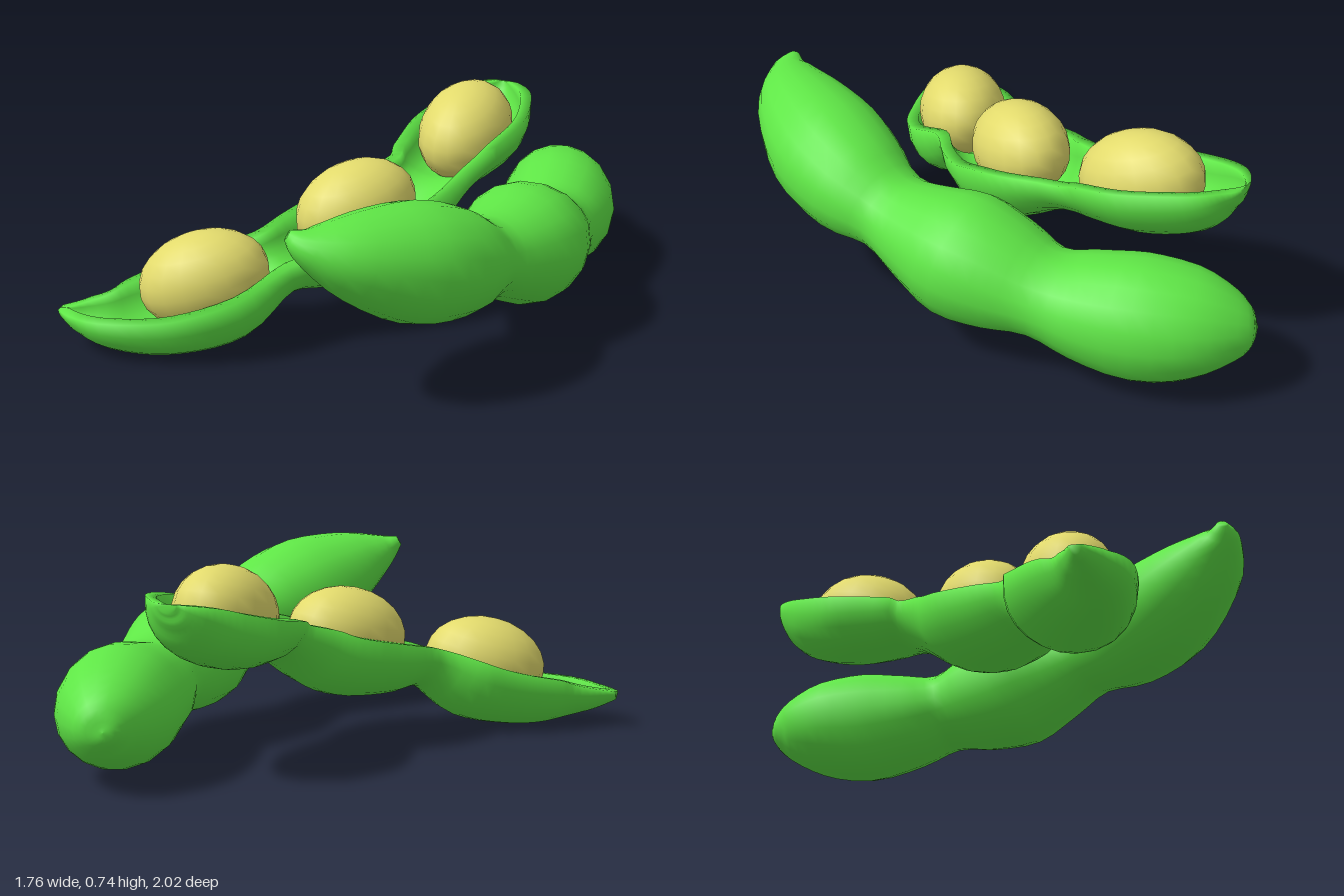
import * as THREE from 'three';

const green = new THREE.MeshStandardMaterial({ color: 0x5fe646 });
const yellow = new THREE.MeshStandardMaterial({ color: 0xe2da6c });

// Sweep a closed cross-section along stations [x, y, z, halfWidth, halfHeight, roll]
function loft(stations, section, steps) {
  const path = new THREE.CatmullRomCurve3(stations.map(s => new THREE.Vector3(s[0], s[1], s[2])));
  const size = new THREE.CatmullRomCurve3(stations.map(s => new THREE.Vector3(s[3], s[4], s[5] ?? 0)));
  path.curveType = size.curveType = 'catmullrom';
  const Y = new THREE.Vector3(0, 1, 0), pos = [], index = [];
  let n = 0;
  for (let i = 0; i <= steps; i++) {
    const p = path.getPoint(i / steps), r = size.getPoint(i / steps), t = path.getTangent(i / steps);
    const side = t.clone().cross(Y).normalize(), up = side.clone().cross(t);
    const ring = section(Math.max(r.x, 0.002), Math.max(r.y, 0.002));
    n = ring.length;
    for (const [u, v] of ring) {
      const q = p.clone().addScaledVector(side, u).addScaledVector(up, v + r.z * u);
      pos.push(q.x, q.y, q.z);
    }
  }
  for (let i = 0; i < steps; i++) {
    for (let j = 0; j < n; j++) {
      const a = i * n + j, b = i * n + (j + 1) % n, c = a + n, d = b + n;
      index.push(a, c, b, b, c, d);
    }
  }
  // end caps
  const last = steps * n;
  for (let j = 1; j < n - 1; j++) index.push(0, j, j + 1, last, last + j + 1, last + j);
  const g = new THREE.BufferGeometry();
  g.setAttribute('position', new THREE.Float32BufferAttribute(pos, 3));
  g.setIndex(index);
  g.computeVertexNormals();
  return g;
}

// Full ellipse for the closed pod
function ellipse(w, h) {
  const pts = [];
  for (let j = 0; j < 18; j++) {
    const a = j / 18 * Math.PI * 2;
    pts.push([w * Math.cos(a), h * Math.sin(a)]);
  }
  return pts;
}

// Full-bellied half shell with a thick rim for the open pod
function halfShell(w, h) {
  const pts = [], N = 12;
  const arc = (rw, rh, from, to) => {
    for (let j = 0; j <= N; j++) {
      const a = from + (to - from) * j / N;
      pts.push([rw * Math.cos(a), -rh * Math.abs(Math.sin(a)) ** 0.85]);
    }
  };
  arc(w, h, Math.PI, 2 * Math.PI);
  arc(Math.max(w - 0.045, 0.001), Math.max(h - 0.045, 0.001), 2 * Math.PI, Math.PI);
  return pts;
}

const closedStations = [
  [0.10, 0.645, 0.955, 0.02, 0.02],
  [0.165, 0.605, 0.935, 0.085, 0.07],
  [0.275, 0.55, 0.84, 0.165, 0.145],
  [0.41, 0.478, 0.66, 0.22, 0.205],
  [0.515, 0.425, 0.485, 0.205, 0.19],
  [0.57, 0.385, 0.33, 0.16, 0.14],
  [0.61, 0.355, 0.19, 0.19, 0.175],
  [0.645, 0.327, 0.02, 0.235, 0.222],
  [0.66, 0.295, -0.15, 0.213, 0.195],
  [0.67, 0.272, -0.29, 0.18, 0.152],
  [0.66, 0.25, -0.43, 0.205, 0.185],
  [0.645, 0.24, -0.62, 0.22, 0.218],
  [0.605, 0.24, -0.80, 0.195, 0.19],
  [0.568, 0.235, -0.93, 0.125, 0.12],
  [0.545, 0.23, -0.985, 0.06, 0.055],
  [0.54, 0.23, -1.0, 0.002, 0.002],
];

// Centre of the rim, half width, depth, roll
const openStations = [
  [-0.88, 0.13, 0.645, 0.02, 0.035, -0.08],
  [-0.79, 0.145, 0.65, 0.085, 0.10, -0.08],
  [-0.665, 0.17, 0.637, 0.15, 0.165, -0.10],
  [-0.505, 0.20, 0.56, 0.205, 0.208, -0.12],
  [-0.335, 0.255, 0.465, 0.22, 0.222, -0.10],
  [-0.185, 0.325, 0.345, 0.165, 0.16, -0.06],
  [-0.065, 0.365, 0.22, 0.212, 0.21, -0.04],
  [0.065, 0.415, 0.07, 0.247, 0.24, 0],
  [0.165, 0.467, -0.06, 0.225, 0.212, 0.04],
  [0.24, 0.512, -0.22, 0.192, 0.155, 0.08],
  [0.265, 0.55, -0.34, 0.212, 0.185, 0.11],
  [0.30, 0.59, -0.52, 0.235, 0.215, 0.13],
  [0.327, 0.625, -0.69, 0.193, 0.20, 0.12],
  [0.34, 0.645, -0.80, 0.135, 0.145, 0.08],
  [0.35, 0.65, -0.86, 0.075, 0.075, 0.04],
  [0.353, 0.65, -0.88, 0.035, 0.03, 0],
];

// Bean centre and long-axis direction
const beans = [
  [[-0.385, 0.25, 0.495], [0.88, 0.25, -0.42]],
  [[0.04, 0.413, 0.065], [0.66, 0.22, -0.70]],
  [[0.30, 0.56, -0.495], [0.16, 0.30, -0.97]],
];

export function createModel() {
  const model = new THREE.Group();
  const add = (name, geometry, material) => {
    const m = new THREE.Mesh(geometry, material);
    m.name = name;
    model.add(m);
    return m;
  };

  add('closedPod', loft(closedStations, ellipse, 45), green);
  add('openPod', loft(openStations, halfShell, 60), green);

  beans.forEach(([c, d], i) => {
    const bean = add('bean' + (i + 1), new THREE.SphereGeometry(1, 18, 12), yellow);
    bean.position.set(...c);
    bean.scale.set(0.17, 0.172, 0.237);
    bean.lookAt(c[0] + d[0], c[1] + d[1], c[2] + d[2]);
  });
  return model;
}
